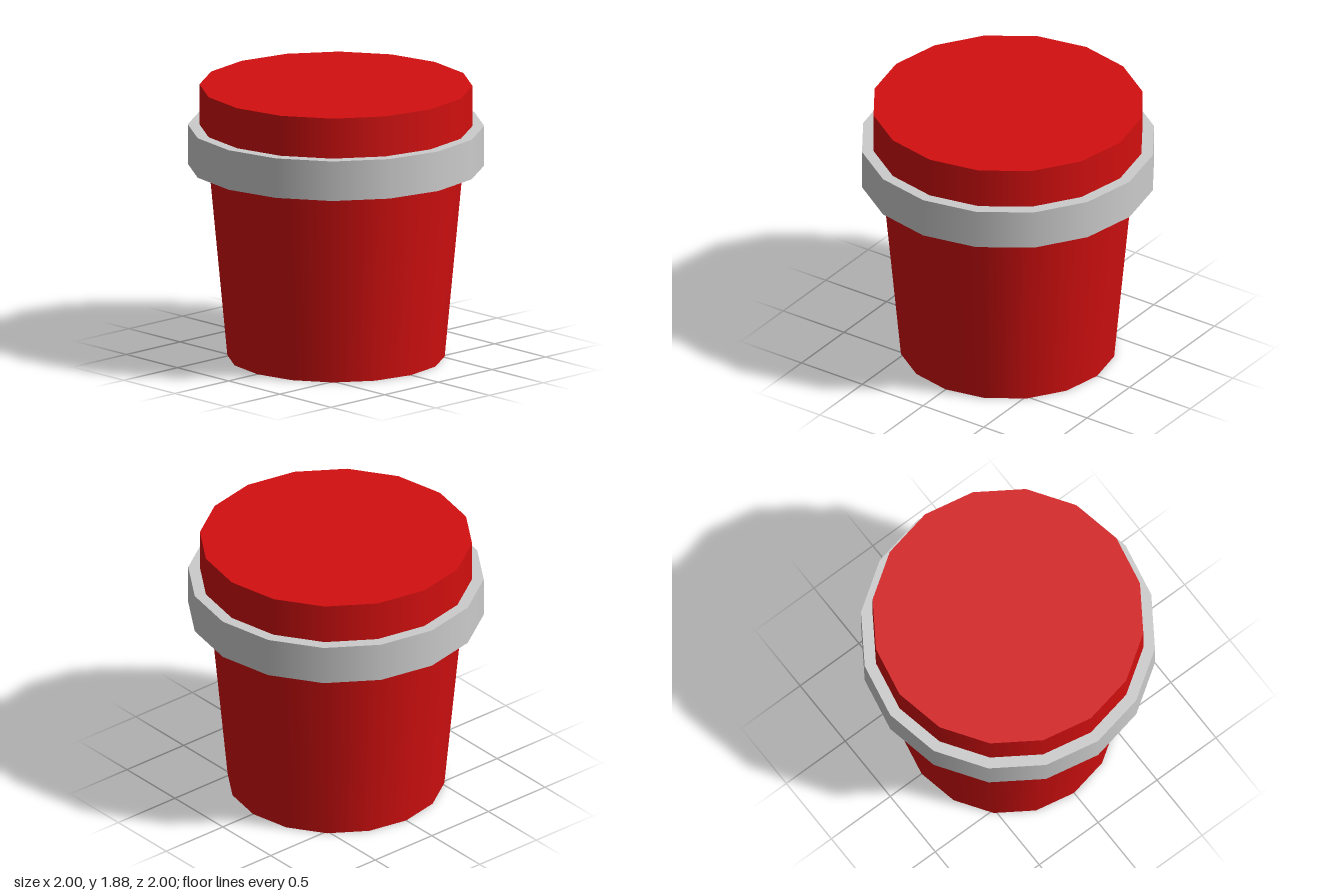
import * as THREE from 'three';

const SIDES = 16;

export function createModel() {
  const group = new THREE.Group();
  const red = new THREE.MeshStandardMaterial({ color: 0xd20f0f });
  const grey = new THREE.MeshStandardMaterial({ color: 0xcccccc });

  // Smooth-shaded, capped drum between two heights
  function drum(name, bottomRadius, topRadius, y0, y1, material) {
    const geometry = new THREE.CylinderGeometry(topRadius, bottomRadius, y1 - y0, SIDES);
    const mesh = new THREE.Mesh(geometry, material);
    mesh.name = name;
    mesh.position.y = (y0 + y1) / 2;
    group.add(mesh);
  }

  drum('taperedBody', 0.733, 0.858, 0, 1.33, red);
  drum('rimBand', 1, 1, 1.33, 1.605, grey);
  drum('topCap', 0.921, 0.921, 1.605, 1.883, red);

  return group;
}
